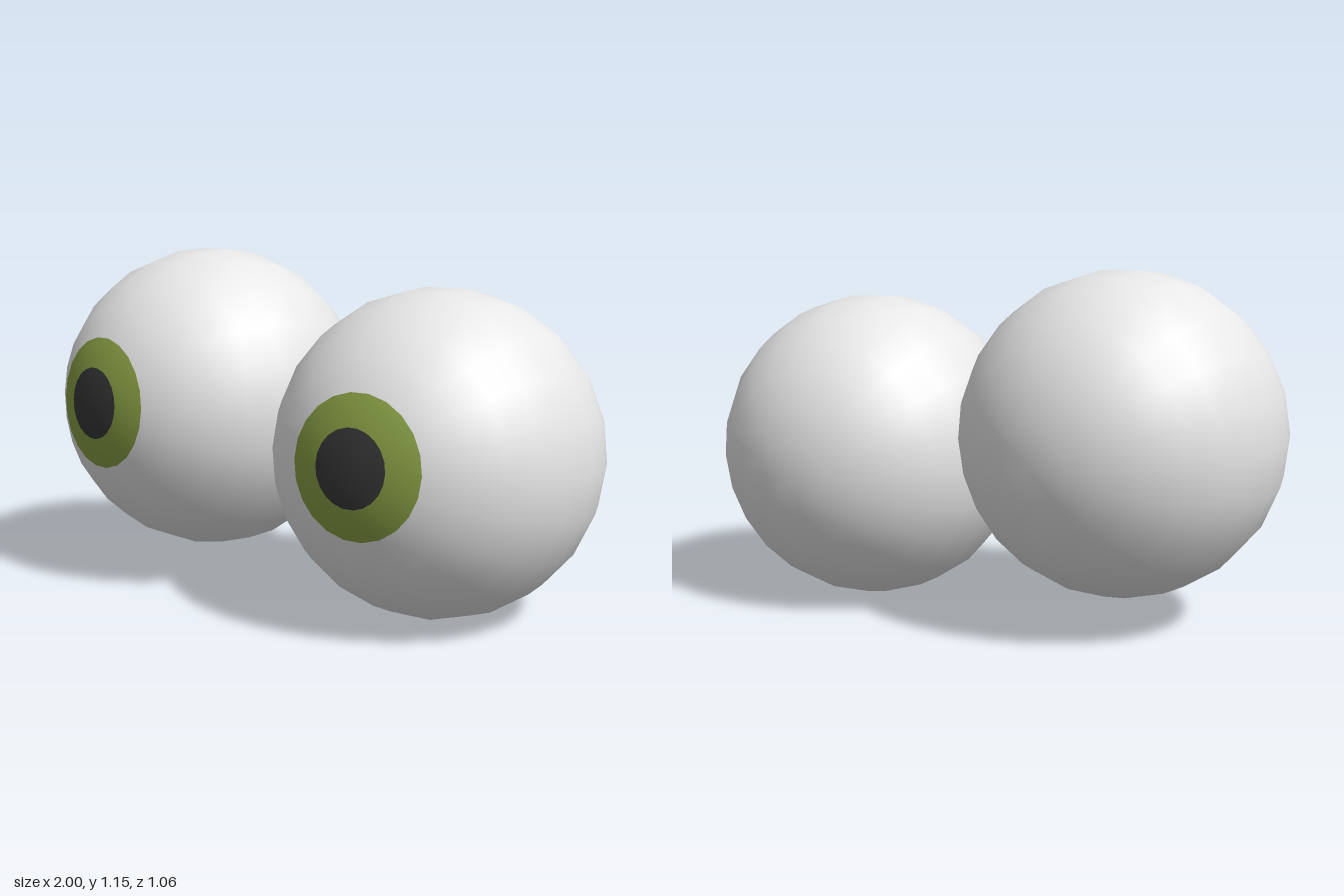
import * as THREE from 'three';

const RADIUS = 0.532;
const PUPIL = Math.asin(0.12 / RADIUS); // angle from the gaze axis to the pupil edge
const IRIS = Math.asin(0.22 / RADIUS);  // angle from the gaze axis to the iris edge

export function createModel() {
  const white = new THREE.MeshStandardMaterial({ name: 'eyeWhite', color: 0xebebeb });
  const green = new THREE.MeshStandardMaterial({ name: 'irisGreen', color: 0x889f44 });
  const black = new THREE.MeshStandardMaterial({ name: 'pupilBlack', color: 0x373737 });

  // One band of the eyeball, with its pole turned to +z
  function band(name, material, from, to, rings) {
    const geometry = new THREE.SphereGeometry(RADIUS, 22, rings, 0, Math.PI * 2, from, to - from);
    geometry.rotateX(Math.PI / 2);
    const mesh = new THREE.Mesh(geometry, material);
    mesh.name = name;
    return mesh;
  }

  // Bands share their edges, so each eyeball is one closed sphere
  function eye(name, x, y, gaze) {
    const group = new THREE.Group();
    group.name = name;
    group.add(
      band('pupil', black, 0, PUPIL, 2),
      band('iris', green, PUPIL, IRIS, 2),
      band('eyeball', white, IRIS, Math.PI, 12)
    );
    group.position.set(x, y, 0);
    group.quaternion.setFromUnitVectors(new THREE.Vector3(0, 0, 1), gaze.normalize());
    return group;
  }

  const model = new THREE.Group();
  model.name = 'eyes';
  model.add(
    eye('rightEye', -0.469, 0.632, new THREE.Vector3(-0.095, 0.03, 0.52)),
    eye('leftEye', 0.469, 0.532, new THREE.Vector3(0.01, 0.04, 0.53))
  );
  return model;
}
